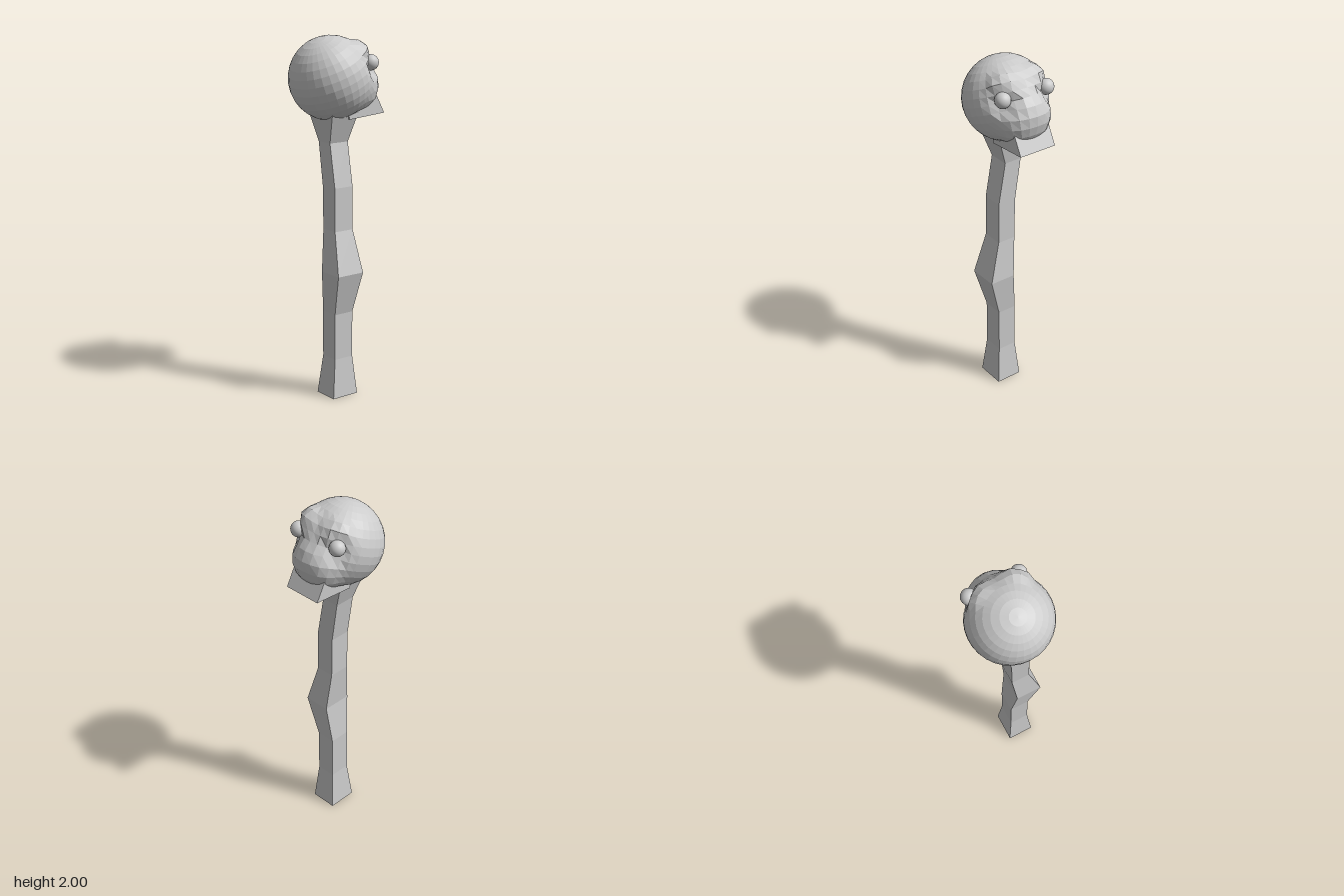
import * as THREE from 'three';

const material = new THREE.MeshStandardMaterial({ color: 0xcccccc, flatShading: true });
const smooth = new THREE.MeshStandardMaterial({ color: 0xcccccc });

function part(name, geometry, mat = material) {
  const mesh = new THREE.Mesh(geometry, mat);
  mesh.name = name;
  return mesh;
}

// Moves every vertex of a geometry by a rule
function deform(geometry, rule) {
  const pos = geometry.attributes.position;
  const v = new THREE.Vector3();
  for (let i = 0; i < pos.count; i++) {
    rule(v.fromBufferAttribute(pos, i));
    pos.setXYZ(i, v.x, v.y, v.z);
  }
  geometry.computeVertexNormals();
  return geometry;
}

// Crooked square staff: [y, xMin, xMax, zMin, zMax] per level
function staffGeometry() {
  const levels = [
    [0, -0.03, 0.12, -0.07, 0.095],
    [0.22, -0.01, 0.1, -0.05, 0.07],
    [0.48, -0.01, 0.1, -0.05, 0.07],
    [0.715, 0.015, 0.165, -0.073, 0.096],
    [0.95, -0.006, 0.1, -0.05, 0.07],
    [1.19, -0.01, 0.098, -0.05, 0.07],
    [1.43, -0.046, 0.055, -0.05, 0.07],
    [1.66, -0.125, 0.135, -0.09, 0.107],
  ];
  return deform(new THREE.BoxGeometry(1, 1, 1, 1, levels.length - 1, 1), (v) => {
    const [y, x0, x1, z0, z1] = levels[Math.round((v.y + 0.5) * (levels.length - 1))];
    v.set(v.x < 0 ? x0 : x1, y, v.z < 0 ? z0 : z1);
  });
}

// Tilted sphere with muzzle, brows and eye sockets pushed out or in
function skullGeometry() {
  const R = 0.228;
  const bumps = [ // direction, amount, width
    [[0, -0.34, -0.94], 0.056, 0.62],
    [[0.48, 0.64, -0.6], 0.032, 0.33],
    [[-0.48, 0.64, -0.6], 0.024, 0.33],
    [[0.6, 0.32, -0.73], -0.022, 0.3],
    [[-0.6, 0.32, -0.73], -0.022, 0.3],
  ].map(([d, amount, width]) => [new THREE.Vector3(...d).normalize(), amount, width]);
  const geometry = new THREE.SphereGeometry(R, 32, 16).rotateX(0.39);
  return deform(geometry, (v) => {
    v.normalize();
    let r = R;
    for (const [d, amount, width] of bumps) {
      r += amount * Math.exp(-Math.pow(v.distanceTo(d) / width, 4));
    }
    v.multiplyScalar(r);
  });
}

// Wedge jaw drawn as a side profile, extruded across x
function jawGeometry() {
  const profile = [[-0.257, 1.575], [-0.02, 1.557], [0, 1.65], [-0.195, 1.69]];
  const shape = new THREE.Shape(profile.map(([z, y]) => new THREE.Vector2(-z, y)));
  return new THREE.ExtrudeGeometry(shape, { depth: 0.22, bevelEnabled: false })
    .translate(0, 0, -0.11)
    .rotateY(Math.PI / 2);
}

export function createModel() {
  const model = new THREE.Group();
  model.name = 'skullStaff';
  model.add(part('staff', staffGeometry()));

  const skull = part('skull', skullGeometry());
  skull.position.set(0, 1.773, 0.025);
  model.add(skull, part('jaw', jawGeometry()));

  // Bulging eyes
  for (const side of [-1, 1]) {
    const eye = part(side > 0 ? 'leftEye' : 'rightEye', new THREE.SphereGeometry(0.043, 24, 16), smooth);
    eye.position.set(side * 0.137, 1.857, -0.14);
    model.add(eye);
  }
  return model;
}
